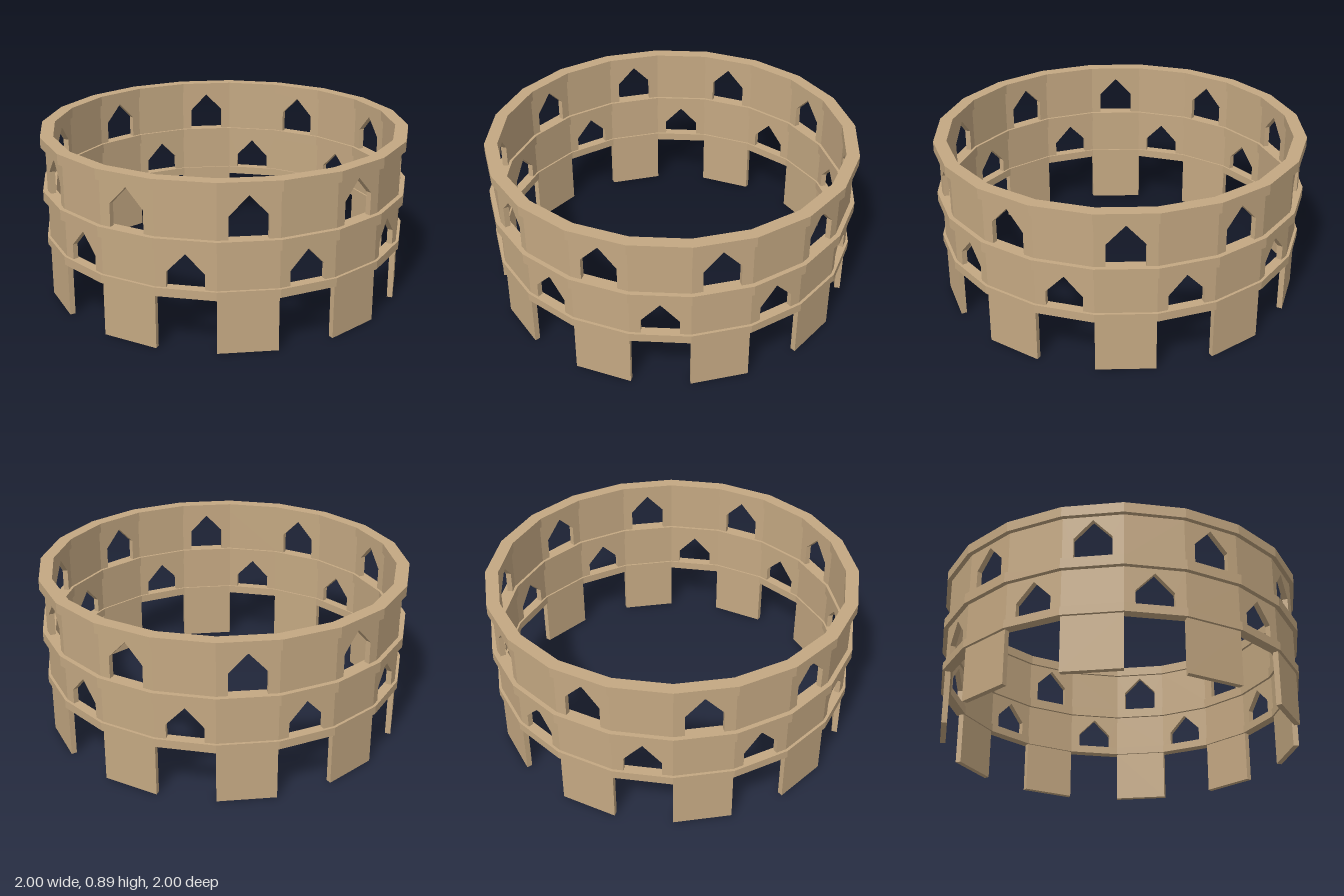
import * as THREE from 'three';
import { mergeGeometries } from 'three/addons/utils/BufferGeometryUtils.js';

const SIDES = 20;
const STEP = (Math.PI * 2) / SIDES;
const WALL_IN = 0.945, WALL_OUT = 0.975;

// One flat wall bay with mitred ends; an arch {half, spring, apex} is cut up from its foot
function bay(index, y0, y1, arch) {
  const cos = Math.cos(STEP / 2), tan = Math.tan(STEP / 2);
  const zIn = WALL_IN * cos, zOut = WALL_OUT * cos;
  const w = zOut * tan;
  const pts = [[-w, y0]];
  if (arch) {
    pts.push([-arch.half, y0], [-arch.half, arch.spring], [0, arch.apex],
      [arch.half, arch.spring], [arch.half, y0]);
  }
  pts.push([w, y0], [w, y1], [-w, y1]);
  const shape = new THREE.Shape(pts.map(([x, y]) => new THREE.Vector2(x, y)));
  const geo = new THREE.ExtrudeGeometry(shape, { depth: zOut - zIn, bevelEnabled: false });
  geo.translate(0, 0, zIn);
  // Pull the bay ends onto the radial mitre lines
  const p = geo.attributes.position;
  for (let i = 0; i < p.count; i++) {
    const x = p.getX(i);
    if (Math.abs(x) > w - 1e-4) p.setX(i, Math.sign(x) * p.getZ(i) * tan);
  }
  geo.computeVertexNormals();
  return geo.rotateY((index + 0.5) * STEP);
}

// Projecting polygonal band with a rectangular section
function band(rIn, rOut, y0, y1) {
  const profile = [[rIn, y0], [rOut, y0], [rOut, y1], [rIn, y1], [rIn, y0]];
  return new THREE.LatheGeometry(profile.map(([r, y]) => new THREE.Vector2(r, y)), SIDES);
}

export function createModel() {
  const group = new THREE.Group();
  const stone = new THREE.MeshStandardMaterial({ color: 0xc4a882, flatShading: true });
  const add = (name, geo) => {
    const mesh = new THREE.Mesh(geo, stone);
    mesh.name = name;
    group.add(mesh);
  };
  const bays = [...Array(SIDES).keys()];

  // Ground storey: piers on every second side
  add('groundPiers', mergeGeometries(bays.filter(i => i % 2 === 0).map(i => bay(i, 0, 0.29))));

  // Two upper storeys with staggered pointed windows
  const lower = { half: 0.096, spring: 0.415, apex: 0.515 };
  const upper = { half: 0.096, spring: 0.715, apex: 0.815 };
  add('lowerWall', mergeGeometries(bays.map(i => bay(i, 0.335, 0.54, i % 2 === 1 ? lower : null))));
  add('upperWall', mergeGeometries(bays.map(i => bay(i, 0.595, 0.835, i % 2 === 0 ? upper : null))));

  // Bands between the storeys and along the top
  add('lowerBand', band(0.935, 0.99, 0.29, 0.335));
  add('middleBand', band(0.93, 1, 0.54, 0.595));
  add('topBand', band(0.93, 1, 0.835, 0.89));

  return group;
}
